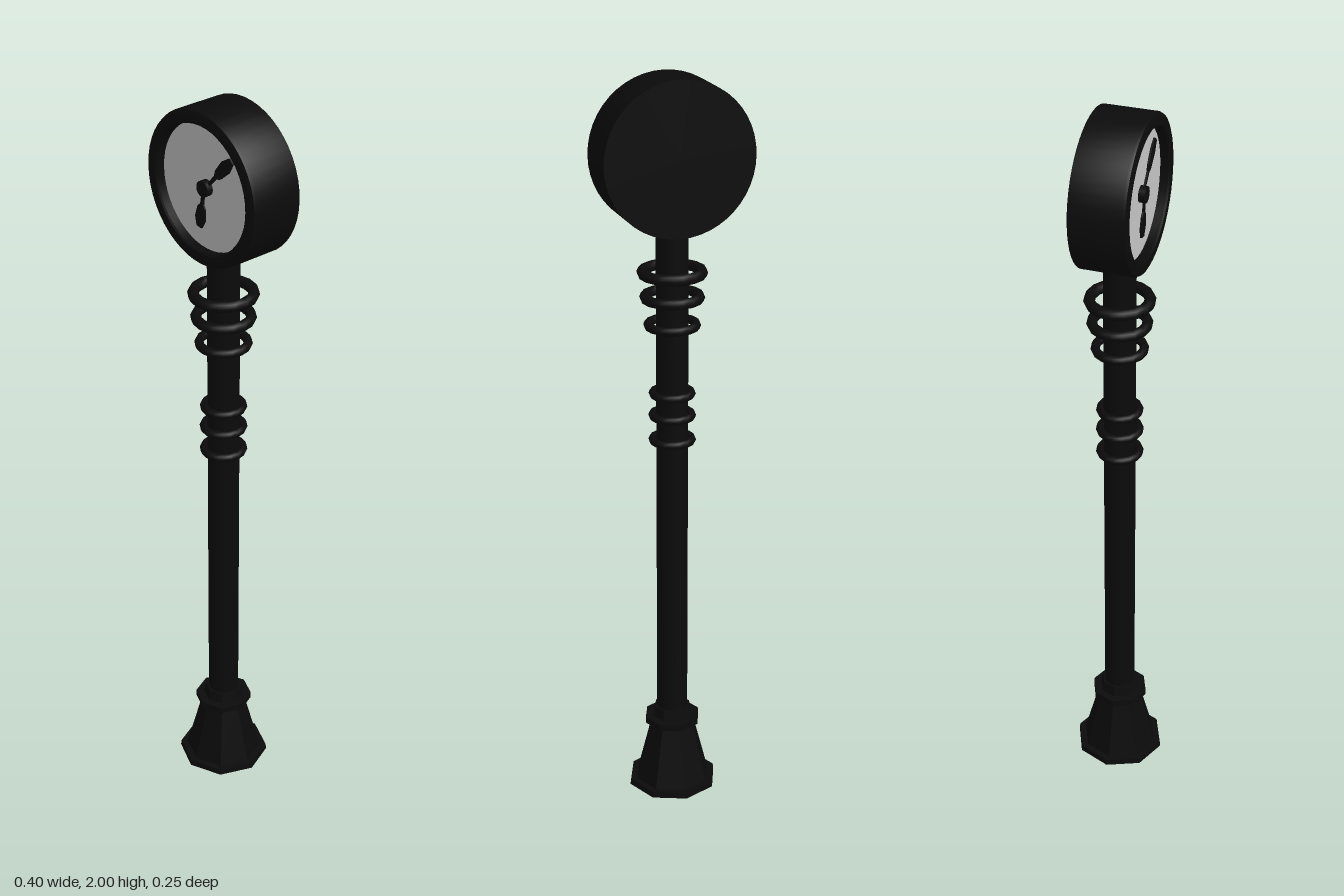
import * as THREE from 'three';
import { toCreasedNormals } from 'three/addons/utils/BufferGeometryUtils.js';

export function createModel() {
  const model = new THREE.Group();
  model.name = 'streetClock';

  const iron = new THREE.MeshStandardMaterial({ color: 0x0b0b0b });
  iron.name = 'black iron';
  const ironFlat = new THREE.MeshStandardMaterial({ color: 0x0b0b0b, flatShading: true });
  ironFlat.name = 'black iron faceted';
  const dialWhite = new THREE.MeshStandardMaterial({ color: 0xcccccc });
  dialWhite.name = 'dial white';

  const add = (name, geometry, material, x = 0, y = 0, z = 0) => {
    const mesh = new THREE.Mesh(geometry, material);
    mesh.name = name;
    mesh.position.set(x, y, z);
    model.add(mesh);
    return mesh;
  };

  // Octagonal foot: [name, top radius, bottom radius, bottom y, top y]
  [
    ['footPlate', 0.123, 0.125, 0, 0.016],
    ['footTaper', 0.058, 0.105, 0.016, 0.2],
    ['footNeck', 0.05, 0.057, 0.2, 0.237],
    ['footCollar', 0.078, 0.078, 0.19, 0.208],
  ].forEach(([name, top, bottom, y0, y1]) =>
    add(name, new THREE.CylinderGeometry(top, bottom, y1 - y0, 8), ironFlat, 0, (y0 + y1) / 2));

  // Round post
  add('post', new THREE.CylinderGeometry(0.042, 0.042, 1.42, 20), iron, 0, 0.92);

  // Decorative rings: [height, outer radius, tube radius]
  [
    [1.496, 0.092, 0.015],
    [1.43, 0.085, 0.014],
    [1.355, 0.075, 0.012],
    [1.167, 0.062, 0.011],
    [1.106, 0.063, 0.011],
    [1.037, 0.063, 0.011],
  ].forEach(([y, outer, tube], i) => {
    const ring = new THREE.TorusGeometry(outer - tube, tube, 8, 16).rotateX(Math.PI / 2);
    add('postRing' + (i + 1), ring, iron, 0, y);
  });

  // Drum-shaped clock case with a rounded front rim and recessed dial
  const profile = [
    [0, -0.066], [0.2, -0.066], [0.2, 0.068], [0.197, 0.075], [0.19, 0.078],
    [0.168, 0.078], [0.164, 0.074], [0.164, 0.05],
  ].map(([r, h]) => new THREE.Vector2(r, h));
  const caseGeometry = new THREE.LatheGeometry(profile, 48).rotateX(Math.PI / 2);
  add('clockCase', toCreasedNormals(caseGeometry, 0.6), iron, 0, 1.8);
  add('dial', new THREE.CircleGeometry(0.166, 48), dialWhite, 0, 1.8, 0.052);

  // Spade-shaped hands: narrow stem widening to a pointed leaf
  const addHand = (name, length, width, angle, z) => {
    const shape = new THREE.Shape();
    const w = width / 2;
    shape.moveTo(-0.004, 0);
    shape.lineTo(0.004, 0);
    shape.lineTo(0.005, length * 0.4);
    shape.lineTo(w * 0.75, length * 0.5);
    shape.lineTo(w, length * 0.78);
    shape.lineTo(w * 0.5, length);
    shape.lineTo(-w * 0.5, length);
    shape.lineTo(-w, length * 0.78);
    shape.lineTo(-w * 0.75, length * 0.5);
    shape.lineTo(-0.005, length * 0.4);
    const geometry = new THREE.ExtrudeGeometry(shape, { depth: 0.005, bevelEnabled: false });
    add(name, geometry, iron, 0, 1.8, z).rotation.z = angle;
  };
  addHand('minuteHand', 0.14, 0.034, -0.76, 0.056);
  addHand('hourHand', 0.108, 0.036, Math.PI - 0.16, 0.06);
  add('handHub', new THREE.CylinderGeometry(0.021, 0.021, 0.018, 16).rotateX(Math.PI / 2),
    iron, 0, 1.8, 0.06);

  return model;
}
